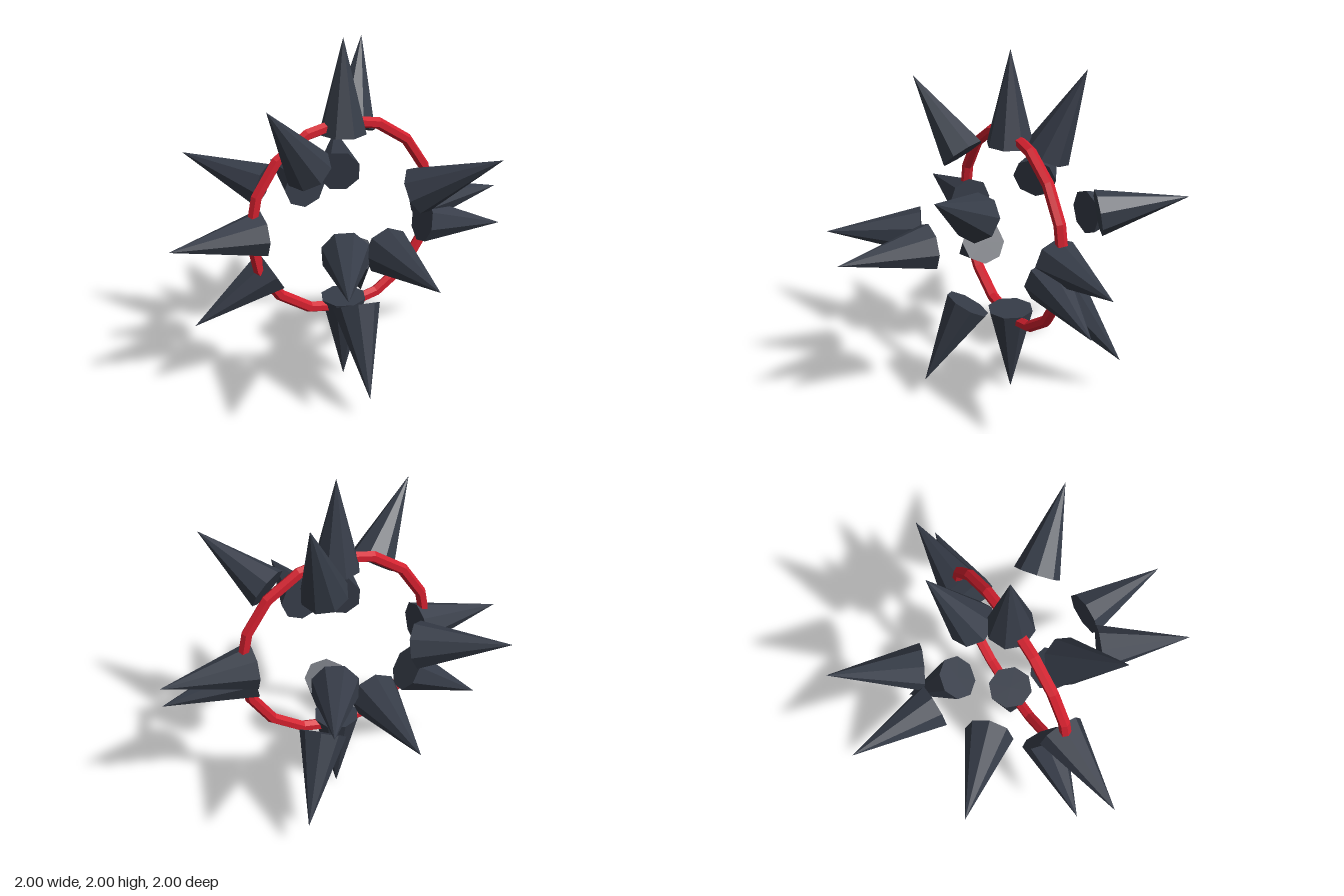
import * as THREE from 'three';

export function createModel() {
  const group = new THREE.Group();
  const darkSteel = new THREE.MeshStandardMaterial({ color: 0x363c48, flatShading: true });
  darkSteel.name = 'dark steel';
  const red = new THREE.MeshStandardMaterial({ color: 0xd2202e, flatShading: true });
  red.name = 'red';

  const centre = new THREE.Vector3(0, 1, 0);
  const up = new THREE.Vector3(0, 1, 0);

  // Floating spikes: faceted cones from radius 0.49 out to 1
  const inner = 0.49, outer = 1;
  const spikeGeometry = new THREE.ConeGeometry(0.13, outer - inner, 8);
  spikeGeometry.translate(0, (inner + outer) / 2, 0);

  function addSpike(name, direction) {
    const spike = new THREE.Mesh(spikeGeometry, darkSteel);
    spike.name = name;
    spike.quaternion.setFromUnitVectors(up, direction.normalize());
    spike.position.copy(centre);
    group.add(spike);
  }

  // Six spikes along the axes
  const axes = {
    top: [0, 1, 0], bottom: [0, -1, 0], left: [1, 0, 0],
    right: [-1, 0, 0], front: [0, 0, 1], back: [0, 0, -1],
  };
  for (const [name, d] of Object.entries(axes)) addSpike(name + 'Spike', new THREE.Vector3(...d));

  // Ten spikes spread on a golden-angle spiral from front to back
  const count = 10;
  const goldenAngle = Math.PI * (3 - Math.sqrt(5));
  for (let i = 0; i < count; i++) {
    const z = 1 - (2 * i + 1) / count;
    const r = Math.sqrt(1 - z * z);
    const a = 0.021 + i * goldenAngle;
    addSpike('spiralSpike' + (i + 1), new THREE.Vector3(-r * Math.cos(a), r * Math.sin(a), z));
  }

  // Upright red ring
  const ring = new THREE.Mesh(new THREE.TorusGeometry(0.55, 0.032, 6, 16), red);
  ring.name = 'ring';
  ring.position.copy(centre);
  group.add(ring);

  return group;
}
